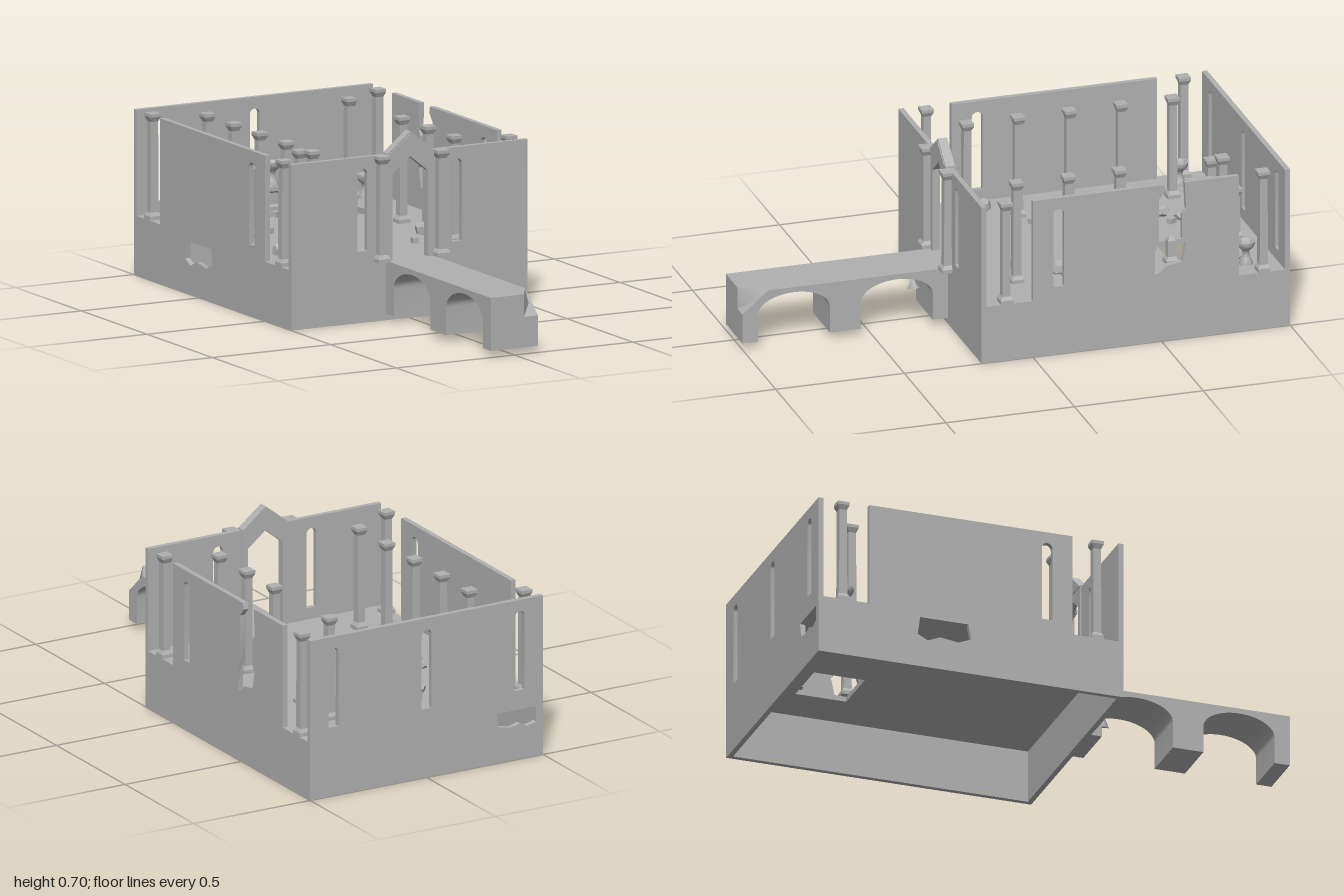
import * as THREE from 'three';
import { toCreasedNormals } from 'three/addons/utils/BufferGeometryUtils.js';

const FLOOR = 0.225, TOP = 0.625;

export function createModel() {
  const group = new THREE.Group();
  const stone = new THREE.MeshStandardMaterial({ color: 0xb0b0b0 });
  stone.name = 'stone';

  const add = (name, geo, x = 0, y = 0, z = 0) => {
    const mesh = new THREE.Mesh(geo, stone);
    mesh.name = name;
    mesh.position.set(x, y, z);
    group.add(mesh);
    return mesh;
  };
  const path = (pts) => new THREE.Path(pts.map(([x, y]) => new THREE.Vector2(x, y)));
  const rect = (a, b, c, d) => [[a, c], [b, c], [b, d], [a, d]];

  // Extruded slab with cut-outs, crisp edges but smooth arches
  const slab = (outline, holes, depth) => {
    const shape = new THREE.Shape(path(outline).getPoints());
    shape.holes = holes;
    const geo = new THREE.ExtrudeGeometry(shape, { depth, bevelEnabled: false, curveSegments: 10 });
    return toCreasedNormals(geo, 0.6);
  };
  // Slab drawn in (z, y), running from x to x + depth
  const sideSlab = (outline, holes, depth, x) =>
    slab(outline, holes, depth).rotateY(-Math.PI / 2).translate(x + depth, 0, 0);

  // Narrow round-headed window
  const lancet = (c) => {
    const p = new THREE.Path();
    p.moveTo(c - 0.021, 0.27);
    p.lineTo(c + 0.021, 0.27);
    p.lineTo(c + 0.021, 0.56);
    p.absarc(c, 0.56, 0.021, 0, Math.PI, false);
    p.closePath();
    return p;
  };
  const doorway = () => path([[-0.075, FLOOR], [0.075, FLOOR], [0.075, 0.55], [0, 0.61], [-0.075, 0.55]]);

  // Hollow base, open underneath, with two broken openings
  add('frontBase', slab(rect(-0.5, 0.5, 0, 0.205), [], 0.02), 0, 0, 0.18);
  const backBreak = path([[-0.47, 0.135], [-0.43, 0.125], [-0.4, 0.14], [-0.36, 0.13], [-0.31, 0.14], [-0.3, 0.195], [-0.47, 0.195]]);
  add('backBase', slab(rect(-0.5, 0.5, 0, 0.205), [backBreak], 0.02), 0, 0, -1);
  const sideBreak = path([[-0.61, 0.13], [-0.57, 0.11], [-0.52, 0.13], [-0.45, 0.12], [-0.4, 0.14], [-0.41, 0.2], [-0.6, 0.2]]);
  add('rightBase', sideSlab(rect(-0.98, 0.18, 0, FLOOR), [sideBreak], 0.02, -0.5));
  add('leftBase', sideSlab(rect(-0.98, 0.18, 0, FLOOR), [], 0.02, 0.48));

  // Floor with a missing paving slab
  const floorGeo = slab(rect(-0.48, 0.48, -0.98, 0.18), [path(rect(0.1, 0.3, -0.8, -0.6))], 0.02);
  floorGeo.rotateX(Math.PI / 2);
  add('floor', floorGeo, 0, FLOOR, 0);

  // Upper walls
  add('frontWall', slab(rect(-0.5, 0.5, 0.205, TOP), [lancet(-0.2), lancet(0.2), doorway()], 0.02), 0, 0, 0.18);
  add('backWall', slab(rect(-0.5, 0.5, 0.205, TOP), [lancet(-0.4), lancet(0), lancet(0.4)], 0.02), 0, 0, -1);
  add('rightWall', sideSlab(rect(-0.8, 0, FLOOR, TOP), [lancet(-0.1)], 0.02, -0.5));
  const brokenWall = [[-0.8, FLOOR], [0, FLOOR], [0, TOP], [-0.51, TOP], [-0.515, 0.6], [-0.49, 0.57],
    [-0.49, 0.4], [-0.475, 0.36], [-0.475, 0.27], [-0.5, 0.28], [-0.52, 0.3], [-0.58, 0.31], [-0.595, 0.38], [-0.58, 0.4],
    [-0.58, 0.5], [-0.595, 0.52], [-0.59, TOP], [-0.8, TOP]];
  add('leftWall', sideSlab(brokenWall, [lancet(-0.1)], 0.02, 0.48));

  // Portal frame and gable
  add('portalFrame', slab(rect(-0.1, 0.1, FLOOR, 0.63), [doorway()], 0.03), 0, 0, 0.175);
  add('gable', slab([[-0.1, 0.625], [0.1, 0.625], [0, 0.705]], [], 0.036), 0, 0, 0.172);
  add('gablePanel', slab([[-0.085, 0.63], [0.085, 0.63], [0, 0.695]], [], 0.004), 0, 0, 0.207);

  // Square turned parts: half-widths and heights, flat sided
  const squareTurned = (pts) => {
    const geo = new THREE.LatheGeometry(pts.map(([r, y]) => new THREE.Vector2(r * Math.SQRT2, y)), 4, Math.PI / 4);
    const flat = geo.toNonIndexed();
    flat.computeVertexNormals();
    return flat;
  };
  const columnGeo = (h, s = 1) => squareTurned([[0, 0], [0.024 * s, 0], [0.024 * s, 0.014], [0.016 * s, 0.028],
    [0.015 * s, h - 0.03], [0.023 * s, h - 0.012], [0.023 * s, h], [0, h]]);
  const column = (name, x, z, h = TOP - FLOOR, s = 1) => add(name, columnGeo(h, s), x, FLOOR, z);

  for (const side of [-1, 1]) {
    for (let i = 0; i < 5; i++) {
      if (side === 1 && i === 3) continue;
      column('aisleColumn', side * 0.3, -0.2 * i);
    }
    column('wallColumn', side * 0.476, 0.1);
    column('wallColumn', side * 0.476, -0.9);
    column('doorColumn', side * 0.125, 0.212, TOP - FLOOR, 1.1);
    column('shortColumn', side * 0.145, -0.9, 0.2);
  }
  // Broken column stump
  add('columnStump', squareTurned([[0, 0], [0.024, 0], [0.024, 0.014], [0.016, 0.028], [0.015, 0.09], [0.006, 0.105], [0, 0.1]]),
    0.3, FLOOR, -0.6);

  // Stone bowls, the middle one on a pedestal
  const bowlProfile = [[0, 0], [0.026, 0], [0.026, 0.01], [0.016, 0.025], [0.012, 0.042], [0.014, 0.055],
    [0.028, 0.07], [0.033, 0.08], [0.033, 0.092], [0.027, 0.092], [0.02, 0.08], [0, 0.076]];
  const bowlGeo = toCreasedNormals(
    new THREE.LatheGeometry(bowlProfile.map(([r, y]) => new THREE.Vector2(r, y)), 20), 0.7);
  for (const x of [-0.4, 0.4]) add('bowl', bowlGeo, x, FLOOR, -0.86);
  add('bowl', bowlGeo, 0, 0.313, -0.85);
  add('pedestal', squareTurned([[0, 0], [0.031, 0], [0.031, 0.015], [0.023, 0.022], [0.023, 0.066], [0.031, 0.073],
    [0.031, 0.088], [0, 0.088]]), 0, FLOOR, -0.85);

  // Bridge with two flattened arches and one chipped corner
  const bridgeOutline = () => {
    const s = new THREE.Shape();
    s.moveTo(0.2, 0.025);
    for (const c of [0.4, 0.8]) {
      s.lineTo(c - 0.14, 0.025);
      s.lineTo(c - 0.14, 0.13);
      s.absellipse(c, 0.13, 0.14, 0.075, Math.PI, 0, true);
      s.lineTo(c + 0.14, 0.025);
    }
    [[1, 0.025], [1, 0.14], [1, FLOOR], [0.9, FLOOR], [0.2, FLOOR]].forEach(([z, y]) => s.lineTo(z, y));
    return s;
  };
  const bridgeStrip = (x0, x1) => {
    const geo = new THREE.ExtrudeGeometry(bridgeOutline(), { depth: x1 - x0, bevelEnabled: false, curveSegments: 14 });
    return geo.rotateY(-Math.PI / 2).translate(x1, 0, 0);
  };
  add('bridge', toCreasedNormals(bridgeStrip(-0.1, 0.04), 0.6));
  const chipped = bridgeStrip(0.04, 0.1);
  const p = chipped.attributes.position;
  for (let i = 0; i < p.count; i++) {
    if (p.getX(i) > 0.09 && p.getY(i) > 0.22 && p.getZ(i) > 0.99) p.setXYZ(i, 0.085, 0.18, 0.955);
  }
  add('chippedBridgeEdge', toCreasedNormals(chipped, 0.6));

  // Fallen rubble: x, z, radius
  let seed = 7;
  const random = () => (seed = (seed * 16807) % 2147483647) / 2147483647;
  const rock = (x, y, z, r) => {
    const geo = new THREE.DodecahedronGeometry(r, 0);
    geo.scale(1, 0.8, 0.8).rotateY(random() * 6).rotateZ(random() * 0.6);
    add('rubble', geo, x, y, z);
  };
  [[-0.38, -0.09, 0.04], [0.265, -0.175, 0.037], [-0.14, -0.71, 0.03], [-0.09, -0.765, 0.03], [0.1, -0.88, 0.026],
    [0.345, -0.84, 0.018], [-0.28, -0.49, 0.024], [-0.13, -0.475, 0.022]]
    .forEach(([x, z, r]) => rock(x, FLOOR + r * 0.5, z, r));
  [[-0.06, -0.72], [-0.23, -0.455], [-0.215, -0.23], [0.155, -0.04]].forEach(([x, z]) => {
    add('brick', new THREE.BoxGeometry(0.03, 0.02, 0.022), x, FLOOR + 0.01, z).rotation.y = random() * 3;
  });

  // Loose fragment hanging below the bridge
  const shard = add('bridgeFragment', new THREE.ConeGeometry(0.028, 0.05, 4), 0.07, 0.175, 0.325);
  shard.rotation.z = 0.3;

  return group;
}
